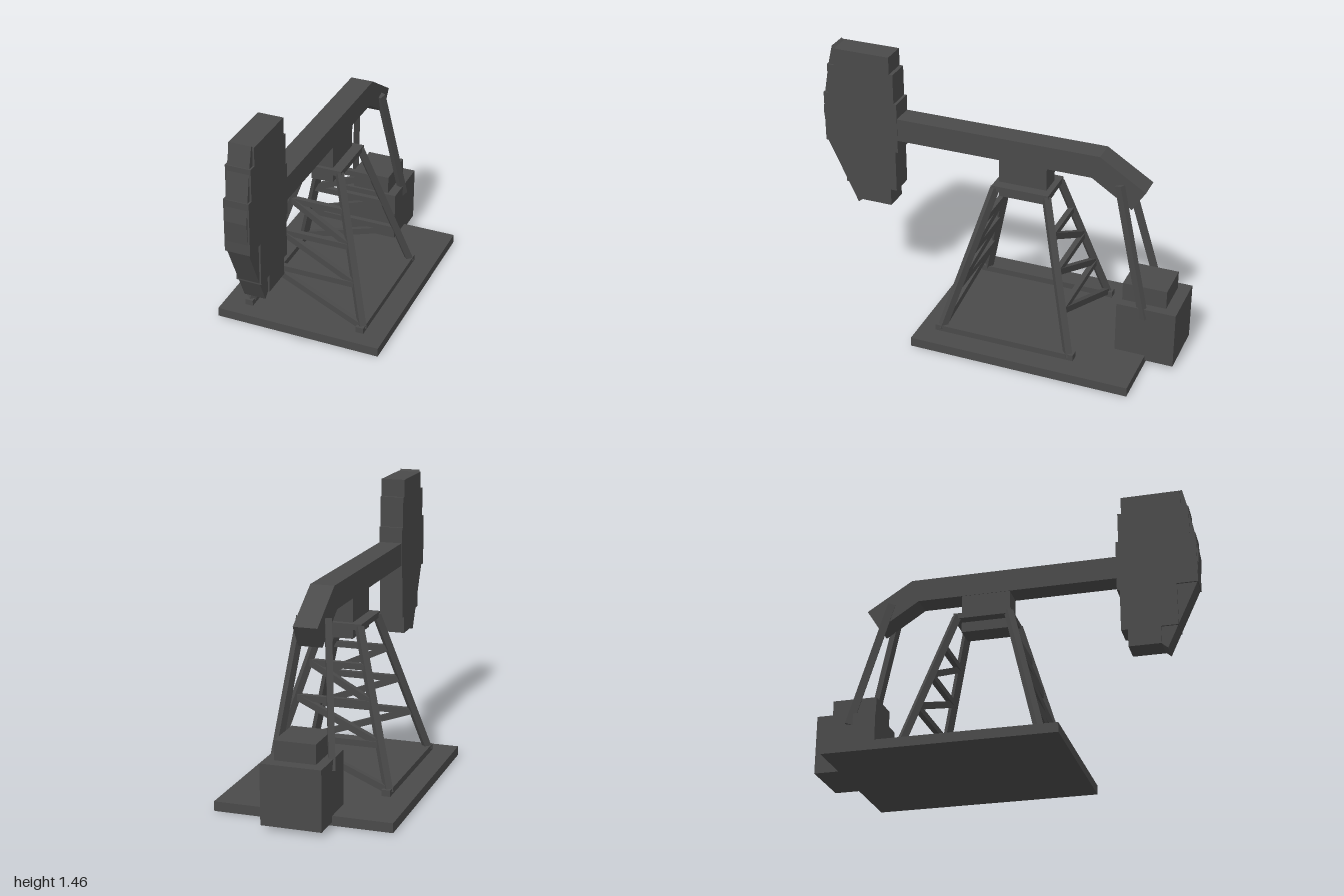
import * as THREE from 'three';

const steel = new THREE.MeshStandardMaterial({ color: 0x4a4a4a });
steel.name = 'darkSteel';

function add(parent, name, geometry) {
  const mesh = new THREE.Mesh(geometry, steel);
  mesh.name = name;
  parent.add(mesh);
  return mesh;
}

// Box given by its extents on each axis
function block(parent, name, [x0, x1], [y0, y1], [z0, z1]) {
  add(parent, name, new THREE.BoxGeometry(x1 - x0, y1 - y0, z1 - z0))
    .position.set((x0 + x1) / 2, (y0 + y1) / 2, (z0 + z1) / 2);
}

// Side profile of [z, y] points, extruded symmetrically across x
function profile(parent, name, points, halfWidth) {
  const shape = new THREE.Shape(points.map(([z, y]) => new THREE.Vector2(z, y)));
  const geometry = new THREE.ExtrudeGeometry(shape, { depth: halfWidth * 2, bevelEnabled: false });
  geometry.translate(0, 0, -halfWidth).rotateY(-Math.PI / 2);
  add(parent, name, geometry);
}

// Square bar between two points
function strut(parent, name, a, b, width, height = width) {
  const mesh = add(parent, name, new THREE.BoxGeometry(width, height, a.distanceTo(b)));
  mesh.position.copy(a).add(b).multiplyScalar(0.5);
  mesh.lookAt(b);
}

export function createModel() {
  const model = new THREE.Group();
  model.name = 'pumpJack';

  // Ground slab
  block(model, 'baseSlab', [-0.46, 0.46], [0, 0.05], [-0.85, 0.34]);

  // Tower: four leaning legs, braced on the front and back faces
  const tower = new THREE.Group();
  tower.name = 'tower';
  model.add(tower);
  const midZ = -0.135;
  const legPoint = (sx, sz, y) => {
    const t = (y - 0.06) / 0.78;
    return new THREE.Vector3(sx * (0.325 - 0.225 * t), y, midZ + sz * (0.355 - 0.215 * t));
  };
  for (const sx of [-1, 1]) {
    const x = [sx * 0.32 - 0.022, sx * 0.32 + 0.022];
    block(tower, 'footRail', x, [0.05, 0.083], [-0.52, 0.25]);
    for (const sz of [-1, 1])
      strut(tower, 'leg', legPoint(sx, sz, 0.06), legPoint(sx, sz, 0.84), 0.036);
  }
  const levels = [0.07, 0.285, 0.475, 0.65];
  for (const sz of [-1, 1]) {
    for (let i = 1; i < levels.length; i++) {
      strut(tower, 'crossBar', legPoint(-1, sz, levels[i]), legPoint(1, sz, levels[i]), 0.028, 0.032);
      strut(tower, 'diagonalBrace', legPoint(-sz, sz, levels[i] + 0.005),
        legPoint(sz, sz, levels[i - 1] + 0.005), 0.028, 0.034);
    }
  }
  block(tower, 'towerCap', [-0.115, 0.115], [0.825, 0.855], [-0.29, 0.02]);
  block(tower, 'saddleBearing', [-0.06, 0.06], [0.77, 0.985], [-0.26, 0]);

  // Walking beam with its bent tail
  profile(model, 'walkingBeam', [[0.6, 0.98], [0.6, 1.105], [-0.54, 1.105],
    [-0.785, 0.95], [-0.715, 0.84], [-0.5, 0.98]], 0.062);

  // Beam head: stacked blocks and a faceted nose
  const head = new THREE.Group();
  head.name = 'beamHead';
  model.add(head);
  const slices = [
    [0.585, 0.68, 0.62, 0.79],
    [0.68, 0.91, 0.585, 0.88],
    [0.91, 1.19, 0.57, 0.99],
    [1.19, 1.355, 0.585, 0.96],
    [1.355, 1.45, 0.605, 0.92],
  ];
  for (const [y0, y1, z0, z1] of slices)
    block(head, 'headBlock', [-0.065, 0.065], [y0, y1], [z0, z1]);
  profile(head, 'headNose', [[0.93, 1.46], [0.9, 1.44], [0.8, 1.2], [0.75, 0.9], [0.76, 0.6],
    [0.79, 0.585], [0.82, 0.56], [0.985, 0.91], [1.0, 1.08], [0.985, 1.19], [0.955, 1.355]], 0.056);

  // Counterweight box
  block(model, 'counterweight', [-0.155, 0.155], [0.02, 0.33], [-1, -0.685]);
  block(model, 'counterweightTop', [-0.105, 0.105], [0.33, 0.43], [-0.935, -0.7]);

  // Arms linking the tail to the counterweight
  for (const sx of [-1, 1])
    strut(model, 'linkArm', new THREE.Vector3(sx * 0.068, 0.97, -0.65),
      new THREE.Vector3(sx * 0.148, 0.27, -0.83), 0.032, 0.04);

  return model;
}
